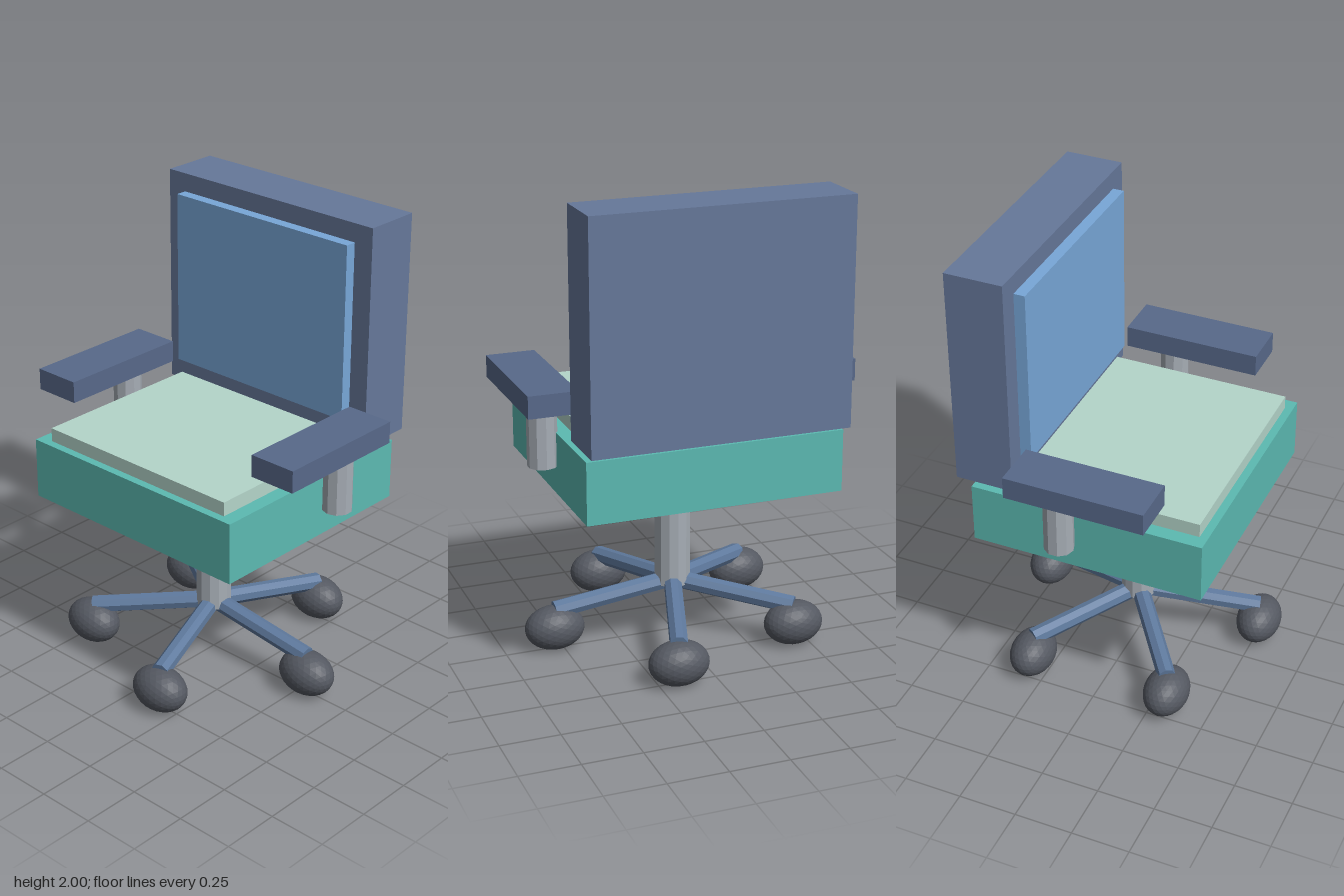
import * as THREE from 'three';

const mat = (color) => new THREE.MeshStandardMaterial({ color, flatShading: true });

export function createModel() {
  const chair = new THREE.Group();
  chair.name = 'officeChair';
  const frame = mat(0x66789a), armPad = mat(0x58698a), panel = mat(0x78a7d8);
  const seatBlue = mat(0x5cbab2), cushionGreen = mat(0xb4d5ca);
  const metal = mat(0xa6adb5), legBlue = mat(0x5f7a9e), dark = mat(0x555962);

  const add = (name, geometry, material, x, y, z) => {
    const mesh = new THREE.Mesh(geometry, material);
    mesh.name = name;
    mesh.position.set(x, y, z);
    chair.add(mesh);
    return mesh;
  };
  // Box given by its lower and upper corners
  const box = (name, material, [x0, y0, z0], [x1, y1, z1]) =>
    add(name, new THREE.BoxGeometry(x1 - x0, y1 - y0, z1 - z0), material,
      (x0 + x1) / 2, (y0 + y1) / 2, (z0 + z1) / 2);
  // Upright post between two heights
  const post = (name, material, r, y0, y1, x, z, sides) =>
    add(name, new THREE.CylinderGeometry(r, r, y1 - y0, sides), material, x, (y0 + y1) / 2, z);

  // Seat and cushion
  box('seat', seatBlue, [-0.55, 0.75, -0.505], [0.55, 1.015, 0.505]);
  box('seatCushion', cushionGreen, [-0.488, 1.0, -0.41], [0.488, 1.075, 0.47]);

  // Backrest with its padded panel and short support
  box('backrest', frame, [-0.55, 1.045, -0.57], [0.55, 2, -0.32]);
  box('backPanel', panel, [-0.462, 1.16, -0.34], [0.462, 1.92, -0.272]);
  box('backSupport', frame, [-0.1, 0.98, -0.45], [0.1, 1.1, -0.37]);

  // Armrests
  for (const side of [-1, 1]) {
    const label = side > 0 ? 'left' : 'right';
    add(label + 'ArmPad', new THREE.BoxGeometry(0.21, 0.095, 0.6), armPad, side * 0.605, 1.185, 0.025);
    post(label + 'ArmPost', metal, 0.063, 0.87, 1.16, side * 0.6, -0.09, 10);
  }

  // Column
  post('column', metal, 0.077, 0.23, 0.78, 0, 0, 12);

  // Five sloping legs, each ending over a caster
  const up = new THREE.Vector3(0, 1, 0);
  for (let i = 0; i < 5; i++) {
    const a = (i / 5) * Math.PI * 2;
    const start = new THREE.Vector3(0, 0.243, 0);
    const end = new THREE.Vector3(0.535 * Math.cos(a), 0.177, 0.535 * Math.sin(a));
    const dir = end.clone().sub(start);
    const mid = start.add(end).multiplyScalar(0.5);
    const leg = add('leg' + (i + 1), new THREE.CylinderGeometry(0.039, 0.039, dir.length(), 8),
      legBlue, mid.x, mid.y, mid.z);
    leg.quaternion.setFromUnitVectors(up, dir.normalize());

    const ball = new THREE.IcosahedronGeometry(1, 4).scale(0.13, 0.096, 0.096);
    add('caster' + (i + 1), ball, dark, end.x, 0.1, end.z);
  }

  // Rest the casters on the ground
  chair.children.forEach((m) => { if (m.name.startsWith('caster')) m.position.y = 0.098; });
  return chair;
}
